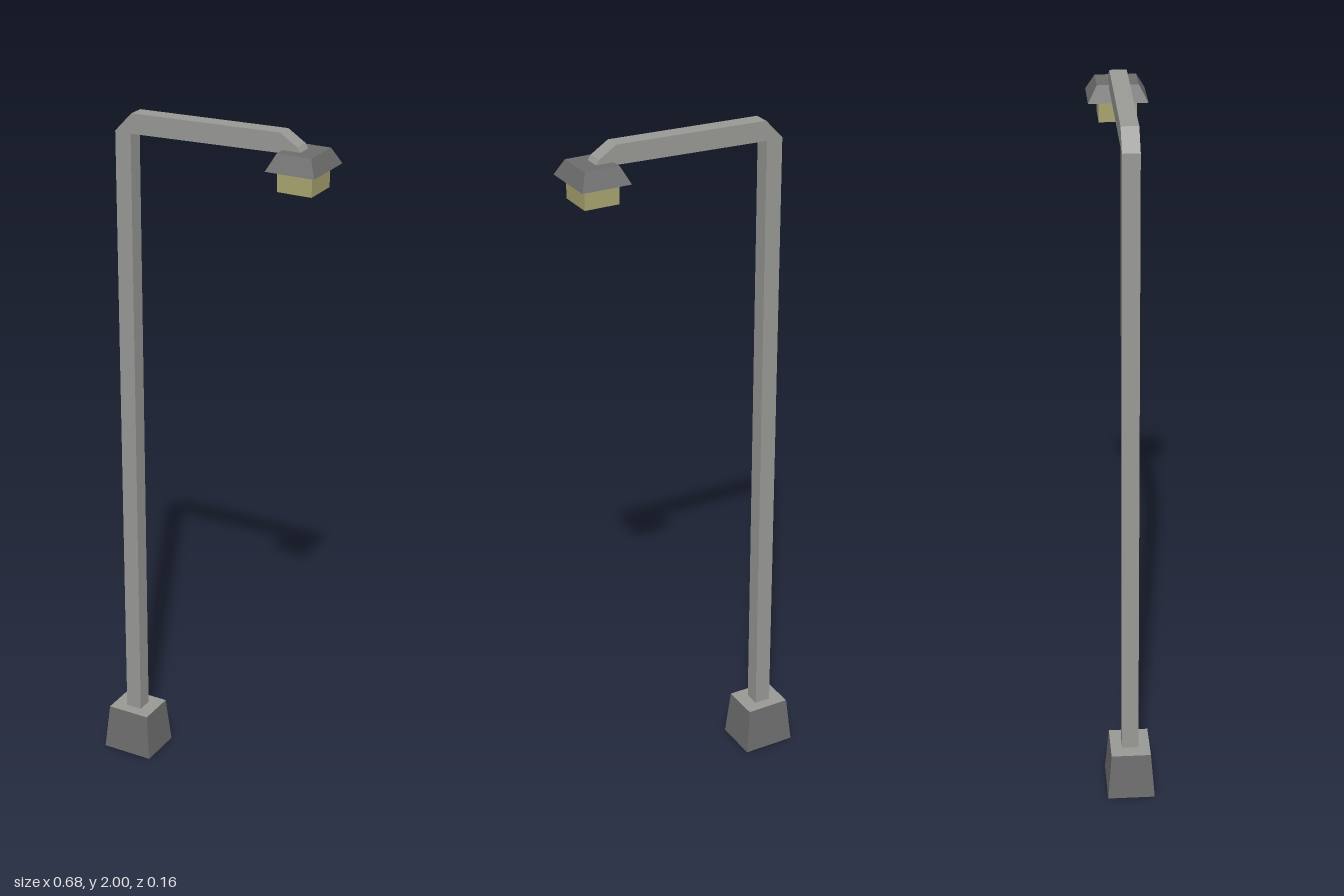
import * as THREE from 'three';

const mat = (name, color) => {
  const m = new THREE.MeshStandardMaterial({ color });
  m.name = name;
  return m;
};

// Box whose top face is narrowed to topW x topD
function taperedBox(w, d, h, topW, topD) {
  const geo = new THREE.BoxGeometry(w, h, d);
  const p = geo.attributes.position;
  for (let i = 0; i < p.count; i++) {
    if (p.getY(i) > 0) {
      p.setX(i, Math.sign(p.getX(i)) * topW / 2);
      p.setZ(i, Math.sign(p.getZ(i)) * topD / 2);
    }
  }
  geo.computeVertexNormals();
  return geo;
}

export function createModel() {
  const lightGrey = mat('light grey metal', 0x999a96);
  const darkGrey = mat('dark grey metal', 0x6d6d6d);
  const paleYellow = mat('pale yellow glass', 0xa8a470);

  const model = new THREE.Group();
  model.name = 'streetLamp';
  const add = (name, geo, material, x, y) => {
    const mesh = new THREE.Mesh(geo, material);
    mesh.name = name;
    mesh.position.set(x, y, 0);
    model.add(mesh);
  };

  // Tapered foot with a light top face
  add('base', taperedBox(0.156, 0.135, 0.138, 0.13, 0.113),
    [darkGrey, darkGrey, lightGrey, darkGrey, darkGrey, darkGrey], -0.262, 0.069);

  // Post and bent arm as one square-section bar
  const outline = [
    [-0.286, 0.13], [-0.238, 0.13], [-0.238, 1.934], [0.209, 1.946],
    [0.235, 1.928], [0.278, 1.94], [0.259, 1.968], [0.209, 2.0],
    [-0.235, 1.99], [-0.286, 1.936],
  ].map(([x, y]) => new THREE.Vector2(x, y));
  const bar = new THREE.ExtrudeGeometry(new THREE.Shape(outline), { depth: 0.047, bevelEnabled: false });
  bar.translate(0, 0, -0.0235);
  add('postAndArm', bar, lightGrey, 0, 0);

  // Lamp head: tapered hood over a glass block
  add('lampHood', taperedBox(0.141, 0.164, 0.045, 0.098, 0.114), darkGrey, 0.267, 1.9325);
  add('lampGlass', new THREE.BoxGeometry(0.1, 0.062, 0.104), paleYellow, 0.267, 1.882);

  return model;
}
